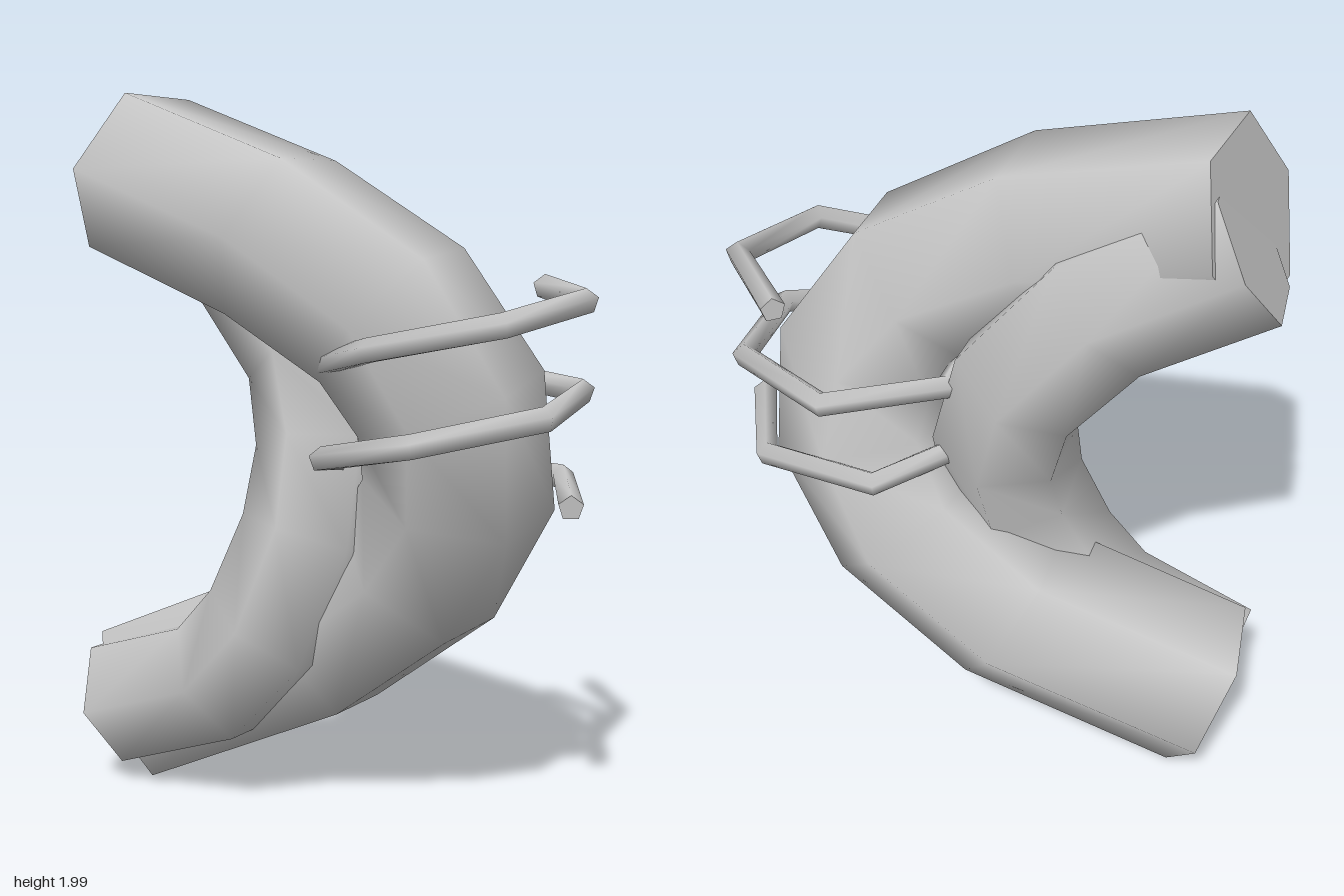
import * as THREE from 'three';

// Sweep a regular polygon along points; ref steers the section's corners.
function sweep(points, radius, sides, ref) {
  const pos = [], index = [];
  const pts = points.map((p) => new THREE.Vector3(...p));
  const last = pts.length - 1;
  const rings = pts.map((p, i) => {
    const back = p.clone().sub(pts[Math.max(i - 1, 0)]).normalize();
    const ahead = pts[Math.min(i + 1, last)].clone().sub(p).normalize();
    const t = back.add(ahead).normalize();
    const u = ref.clone().addScaledVector(t, -ref.dot(t)).normalize();
    const v = t.clone().cross(u);
    return Array.from({ length: sides }, (_, k) => {
      const a = (k / sides) * Math.PI * 2;
      return p.clone().addScaledVector(u, radius * Math.cos(a)).addScaledVector(v, radius * Math.sin(a));
    });
  });
  // smooth side walls
  rings.forEach((ring, i) => ring.forEach((q, k) => {
    pos.push(q.x, q.y, q.z);
    if (i === last) return;
    const a = i * sides + k, b = i * sides + ((k + 1) % sides);
    index.push(a, b, a + sides, b, b + sides, a + sides);
  }));
  // flat end caps with their own vertices
  [rings[0], rings[last]].forEach((ring, e) => {
    const base = pos.length / 3;
    ring.forEach((q) => pos.push(q.x, q.y, q.z));
    for (let k = 1; k < sides - 1; k++) {
      if (e) index.push(base, base + k, base + k + 1);
      else index.push(base, base + k + 1, base + k);
    }
  });
  const g = new THREE.BufferGeometry();
  g.setAttribute('position', new THREE.Float32BufferAttribute(pos, 3));
  g.setIndex(index);
  g.computeVertexNormals();
  return g;
}

export function createModel() {
  const group = new THREE.Group();
  const grey = new THREE.MeshStandardMaterial({ color: 0xc4c4c4 });
  grey.name = 'grey';
  const add = (name, geometry) => {
    const mesh = new THREE.Mesh(geometry, grey);
    mesh.name = name;
    group.add(mesh);
  };
  const zAxis = new THREE.Vector3(0, 0, 1);

  // thick outer bend, front at the top and back at the bottom
  add('outerTube', sweep([
    [-0.645, 1.785, 0.01], [-0.115, 1.61, 0.07], [0.225, 1.41, 0.05], [0.375, 1.18, 0],
    [0.375, 0.93, -0.05], [0.22, 0.7, -0.11], [-0.09, 0.47, -0.11], [-0.65, 0.225, 0],
  ], 0.26, 6, zAxis));

  // thinner inner bend, crossing the other way
  add('innerTube', sweep([
    [-0.67, 1.755, -0.05], [-0.33, 1.55, -0.11], [-0.12, 1.28, -0.11], [-0.04, 1.03, -0.05],
    [-0.04, 0.79, 0.03], [-0.14, 0.53, 0.08], [-0.3, 0.36, 0.085], [-0.67, 0.235, 0.07],
  ], 0.2, 6, zAxis));

  // thin coil wound around the outer bend
  const coil = [];
  for (let i = 0; i <= 14; i++) {
    const turn = (i / 14) * 2.2, a = turn * Math.PI * 2;
    coil.push([0.375 + 0.35 * Math.cos(a), 0.905 + 0.255 * turn + 0.03 * Math.cos(a), -0.35 * Math.sin(a)]);
  }
  add('coil', sweep(coil, 0.034, 5, new THREE.Vector3(0, 1, 0)));

  return group;
}
